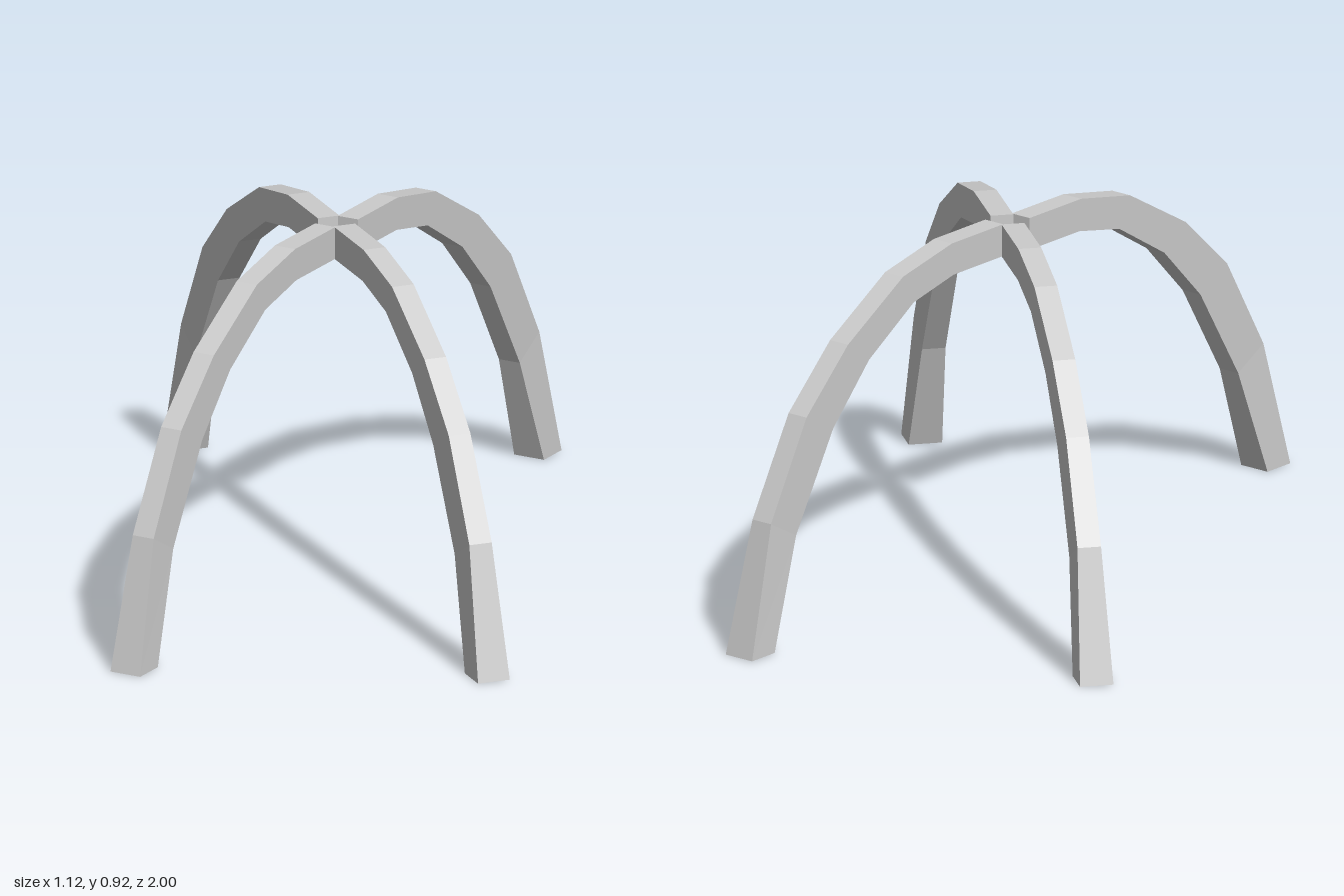
import * as THREE from 'three';

// Cross-sections from the crown to the foot:
// [outer distance, outer height, inner distance, inner height, width]
const SECTIONS = [
  [0, 0.92, 0, 0.834, 0.06],
  [0.207, 0.92, 0.2, 0.834, 0.06],
  [0.403, 0.88, 0.36, 0.8, 0.06],
  [0.625, 0.752, 0.54, 0.69, 0.06],
  [0.792, 0.597, 0.685, 0.54, 0.06],
  [0.936, 0.345, 0.835, 0.29, 0.062],
  [1.028, 0, 0.937, 0, 0.088],
];

// Curved square bar running along +z from the crown down to the ground
function legGeometry() {
  const positions = [];
  const index = [];
  for (const [so, yo, si, yi, w] of SECTIONS) {
    const h = w / 2;
    positions.push(-h, yo, so, -h, yi, si, h, yi, si, h, yo, so);
  }
  const last = (SECTIONS.length - 1) * 4;
  for (let i = 0; i < last; i += 4) {
    for (let j = 0; j < 4; j++) {
      const k = (j + 1) % 4;
      index.push(i + j, i + k, i + 4 + k, i + j, i + 4 + k, i + 4 + j);
    }
  }
  // End caps
  index.push(0, 2, 1, 0, 3, 2);
  index.push(last, last + 1, last + 2, last, last + 2, last + 3);

  const geometry = new THREE.BufferGeometry();
  geometry.setAttribute('position', new THREE.Float32BufferAttribute(positions, 3));
  geometry.setIndex(index);
  const flat = geometry.toNonIndexed();
  flat.computeVertexNormals();
  return flat;
}

export function createModel() {
  const group = new THREE.Group();
  group.name = 'archedLegs';
  const material = new THREE.MeshStandardMaterial({ color: 0xcccccc, flatShading: true });
  const geometry = legGeometry();

  // Four legs: name, heading in degrees, crown end x and z
  const legs = [
    ['frontLeftLeg', 29.1, 0.023, 0.026],
    ['frontRightLeg', -22.9, -0.025, 0.034],
    ['backLeftLeg', 180 - 22.7, 0.025, -0.034],
    ['backRightLeg', 180 + 29.1, -0.025, -0.034],
  ];
  for (const [name, heading, x, z] of legs) {
    const leg = new THREE.Mesh(geometry, material);
    leg.name = name;
    leg.position.set(x, 0, z);
    leg.rotation.y = THREE.MathUtils.degToRad(heading);
    group.add(leg);
  }
  return group;
}
